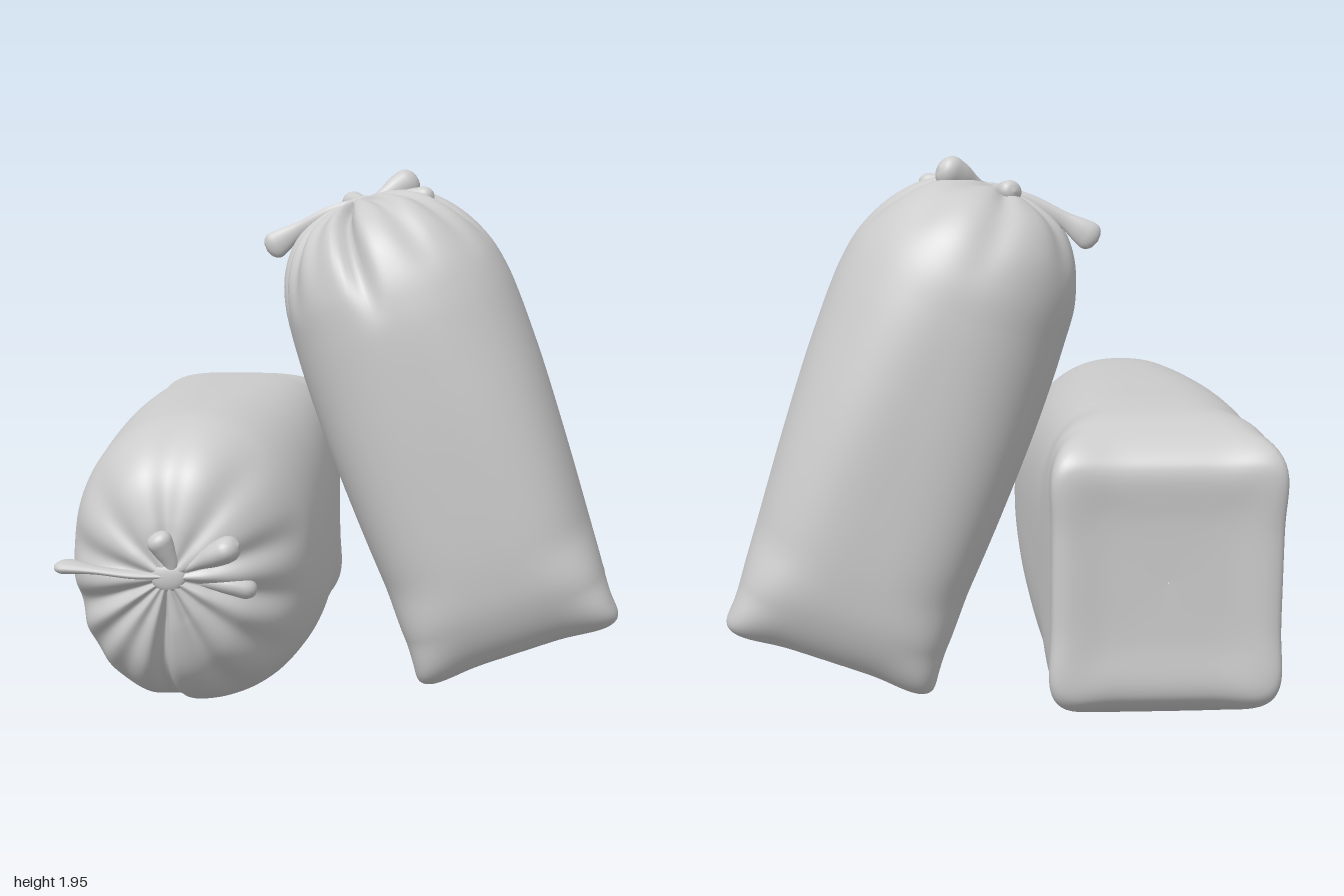
import * as THREE from 'three';

const material = new THREE.MeshStandardMaterial({ color: 0xcccccc });
const { smoothstep, lerp } = THREE.MathUtils;

// Smooth skin through closed loops: point(t, angle) with t running 0..1 along the part
function loft(rows, cols, point) {
  const pos = [], index = [];
  for (let i = 0; i <= rows; i++) {
    for (let j = 0; j < cols; j++) pos.push(...point(i / rows, (j / cols) * Math.PI * 2));
  }
  for (let i = 0; i < rows; i++) {
    for (let j = 0; j < cols; j++) {
      const k = (j + 1) % cols, a = i * cols + j, b = i * cols + k;
      index.push(a, a + cols, b, b, a + cols, b + cols);
    }
  }
  const geo = new THREE.BufferGeometry();
  geo.setAttribute('position', new THREE.Float32BufferAttribute(pos, 3));
  geo.setIndex(index);
  geo.computeVertexNormals();
  return geo;
}

function addMesh(parent, geo, name) {
  const mesh = new THREE.Mesh(geo, material);
  mesh.name = name;
  parent.add(mesh);
}

// Sack profile: [half width x, height, half depth z], from base centre to neck
const profile = new THREE.CatmullRomCurve3([
  [0.002, 0.015, 0.002], [0.2, 0.01, 0.21], [0.35, 0.0, 0.375], [0.388, 0.02, 0.425],
  [0.395, 0.09, 0.485], [0.405, 0.2, 0.53], [0.415, 0.35, 0.55], [0.435, 0.7, 0.555],
  [0.447, 1.05, 0.55], [0.44, 1.35, 0.535], [0.418, 1.5, 0.51], [0.365, 1.63, 0.455],
  [0.275, 1.735, 0.355], [0.15, 1.79, 0.2], [0.06, 1.8, 0.07], [0.002, 1.805, 0.002],
].map((p) => new THREE.Vector3(...p)));

// Gathered folds: [angle in degrees, depth, angular width in degrees, height where it starts]
const folds = [
  [97, 0.16, 5, 1.3], [118, 0.05, 7, 1.45], [137, 0.09, 7, 1.4], [158, 0.14, 8, 1.35],
  [192, 0.07, 10, 1.45], [225, 0.04, 10, 1.5], [268, 0.05, 9, 1.4], [305, 0.04, 10, 1.5],
  [345, 0.07, 9, 1.45], [15, 0.1, 9, 1.45], [42, 0.06, 8, 1.4], [68, 0.07, 7, 1.4],
];

function foldDepth(angle, height) {
  let sum = 0;
  for (const [deg, depth, width, start] of folds) {
    let d = (angle * 180) / Math.PI - deg;
    d -= 360 * Math.round(d / 360);
    sum += depth * Math.exp(-((d / width) ** 2)) * smoothstep(height, start, 1.75);
  }
  return sum;
}

function bodyPoint(t, angle) {
  const p = profile.getPoint(t);
  const c = Math.cos(angle), s = Math.sin(angle);
  // square at the base edge, rounder towards the neck and the base centre
  let n = lerp(6, 3.3, smoothstep(p.y, 0.03, 0.4));
  n = lerp(n, 2.2, smoothstep(p.y, 0.3, 1.6));
  if (t < 0.2) n = lerp(2, n, smoothstep(p.x, 0, 0.35));
  let r = (Math.abs(c / p.x) ** n + Math.abs(s / p.z) ** n) ** (-1 / n);
  // pinched corners around the base
  const pinch = Math.abs(Math.sin(2 * Math.atan2(s * p.x, c * p.z))) ** 10
    * smoothstep(p.x, 0.25, 0.38) * (1 - smoothstep(p.y, 0.02, 0.18));
  r *= 1 + 0.07 * pinch;
  // folds running into the neck
  const fold = foldDepth(angle, p.y);
  r *= 1 - fold * 0.6;
  const shift = -0.03 * smoothstep(p.y, 1.3, 1.8);
  const dip = 0.3 * fold * Math.min(1, r / 0.15);
  return [r * c + shift, p.y - dip - 0.015 * pinch, r * s + shift * 0.5];
}

// Cloth end with a blunt tip: points along a path, radius at each, flattened sideways
function clothEnd(points, radii, flat) {
  const path = new THREE.CatmullRomCurve3(points.map((p) => new THREE.Vector3(...p)));
  const radius = new THREE.SplineCurve(radii.map((r, i) => new THREE.Vector2(i, r)));
  const up = new THREE.Vector3(0, 1, 0);
  return loft(40, 18, (t, a) => {
    const tangent = path.getTangent(t);
    const side = tangent.clone().cross(up).normalize();
    const lift = side.clone().cross(tangent);
    const tip = Math.sqrt(1 - Math.max(0, (t - 0.8) / 0.2) ** 2);
    const r = Math.max(0.0005, radius.getPoint(t).y * tip);
    return path.getPoint(t)
      .addScaledVector(side, r * flat * Math.cos(a))
      .addScaledVector(lift, r * Math.sin(a)).toArray();
  });
}

function createSack(name) {
  const sack = new THREE.Group();
  sack.name = name;
  addMesh(sack, loft(150, 180, bodyPoint), 'sackBody');
  // gathered neck
  const neck = new THREE.SphereGeometry(0.05, 24, 16);
  neck.scale(1.2, 0.4, 1).translate(-0.03, 1.79, -0.015);
  addMesh(sack, neck, 'neck');
  // long loose end of the tie
  addMesh(sack, clothEnd(
    [[0, 1.785, -0.02], [-0.14, 1.785, -0.02], [-0.28, 1.77, -0.03], [-0.37, 1.75, -0.035], [-0.43, 1.735, -0.035]],
    [0.02, 0.03, 0.03, 0.05, 0.058], 0.45), 'longTieEnd');
  // two short ears of gathered cloth
  addMesh(sack, clothEnd(
    [[-0.02, 1.77, -0.02], [0.06, 1.775, -0.06], [0.13, 1.785, -0.095], [0.215, 1.8, -0.135]],
    [0.02, 0.03, 0.055, 0.065], 0.75), 'shortTieEnd');
  addMesh(sack, clothEnd(
    [[-0.02, 1.78, -0.02], [-0.02, 1.785, -0.06], [-0.04, 1.795, -0.11], [-0.07, 1.81, -0.17]],
    [0.02, 0.025, 0.035, 0.045], 1.1), 'shortTieEnd');
  // small pucker beside the neck
  addMesh(sack, clothEnd(
    [[0, 1.76, 0], [0.1, 1.75, 0.01], [0.18, 1.735, 0.025], [0.26, 1.705, 0.045]],
    [0.02, 0.025, 0.035, 0.045], 0.9), 'pucker');
  return sack;
}

export function createModel() {
  const model = new THREE.Group();
  model.name = 'twoSacks';

  // sack lying on its side, neck to the front
  const lying = createSack('lyingSack');
  lying.rotation.x = Math.PI / 2;
  lying.position.set(-0.548, 0.56, -0.915);
  model.add(lying);

  // sack leaning against it
  const leaning = createSack('leaningSack');
  leaning.rotation.z = THREE.MathUtils.degToRad(20);
  leaning.position.set(0.622, 0.155, -0.13);
  model.add(leaning);

  return model;
}
